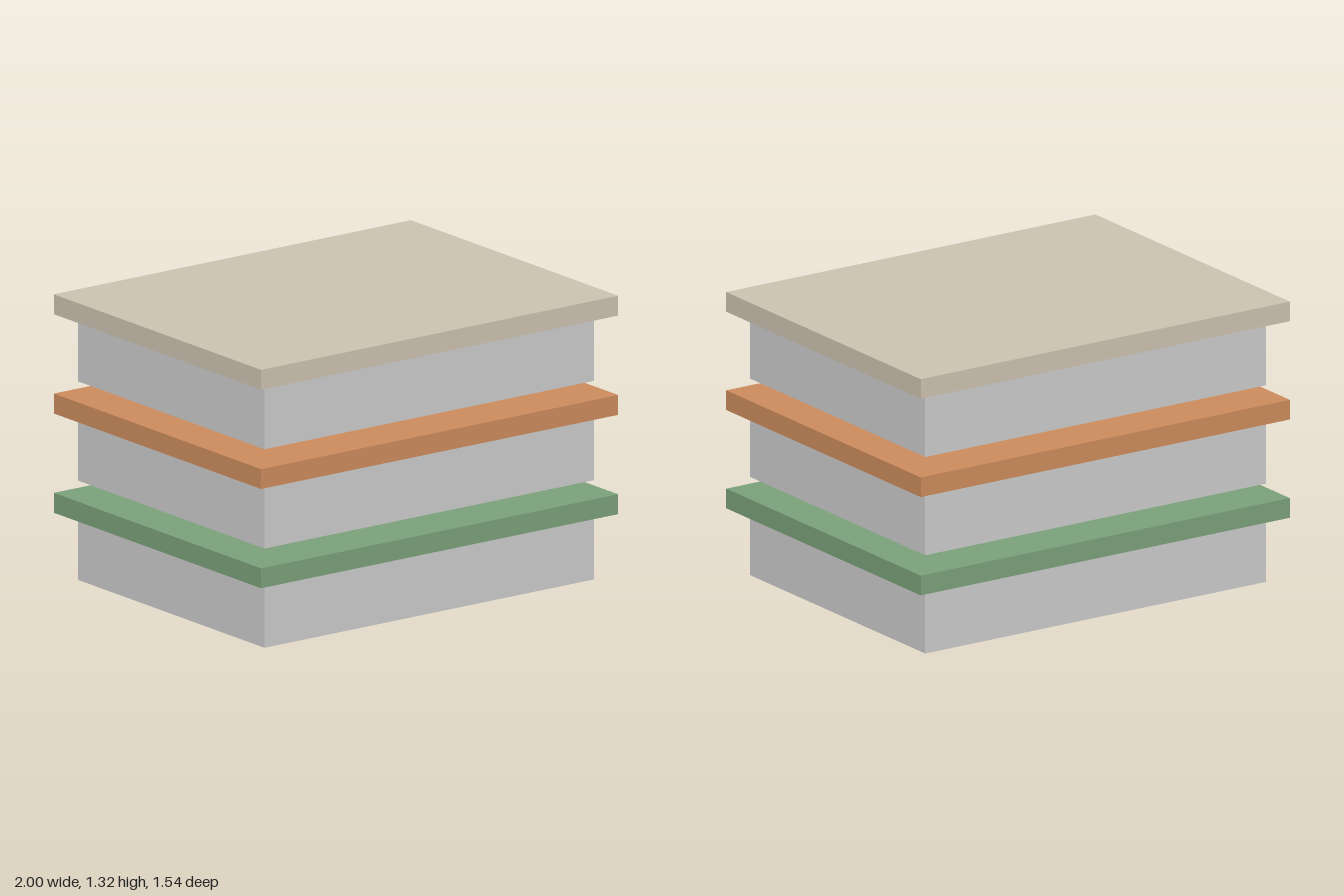
import * as THREE from 'three';

export function createModel() {
  const model = new THREE.Group();
  model.name = 'stackedStoreys';

  const material = (name, color) => {
    const m = new THREE.MeshStandardMaterial({ color });
    m.name = name;
    return m;
  };
  const wallGrey = material('wallGrey', 0xcbcbcb);
  const slabColours = [
    material('green', 0x7aa07a),
    material('orange', 0xcc8b5c),
    material('tan', 0xccc1af),
  ];

  // One unit of the building's module
  const u = 1 / 13;
  const wallHeight = 4 * u, slabHeight = 1.2 * u, storeyPitch = 6 * u;

  const addBox = (parent, name, w, h, d, y, mat) => {
    const mesh = new THREE.Mesh(new THREE.BoxGeometry(w, h, d), mat);
    mesh.name = name;
    mesh.position.y = y + h / 2;
    parent.add(mesh);
  };

  // Each storey: a recessed block under an overhanging slab, with a gap above
  slabColours.forEach((slabColour, i) => {
    const storey = new THREE.Group();
    storey.name = `storey${i + 1}`;
    storey.position.y = i * storeyPitch;
    addBox(storey, 'wallBlock', 24 * u, wallHeight, 18 * u, 0, wallGrey);
    addBox(storey, 'roofSlab', 26 * u, slabHeight, 20 * u, wallHeight, slabColour);
    model.add(storey);
  });

  return model;
}
